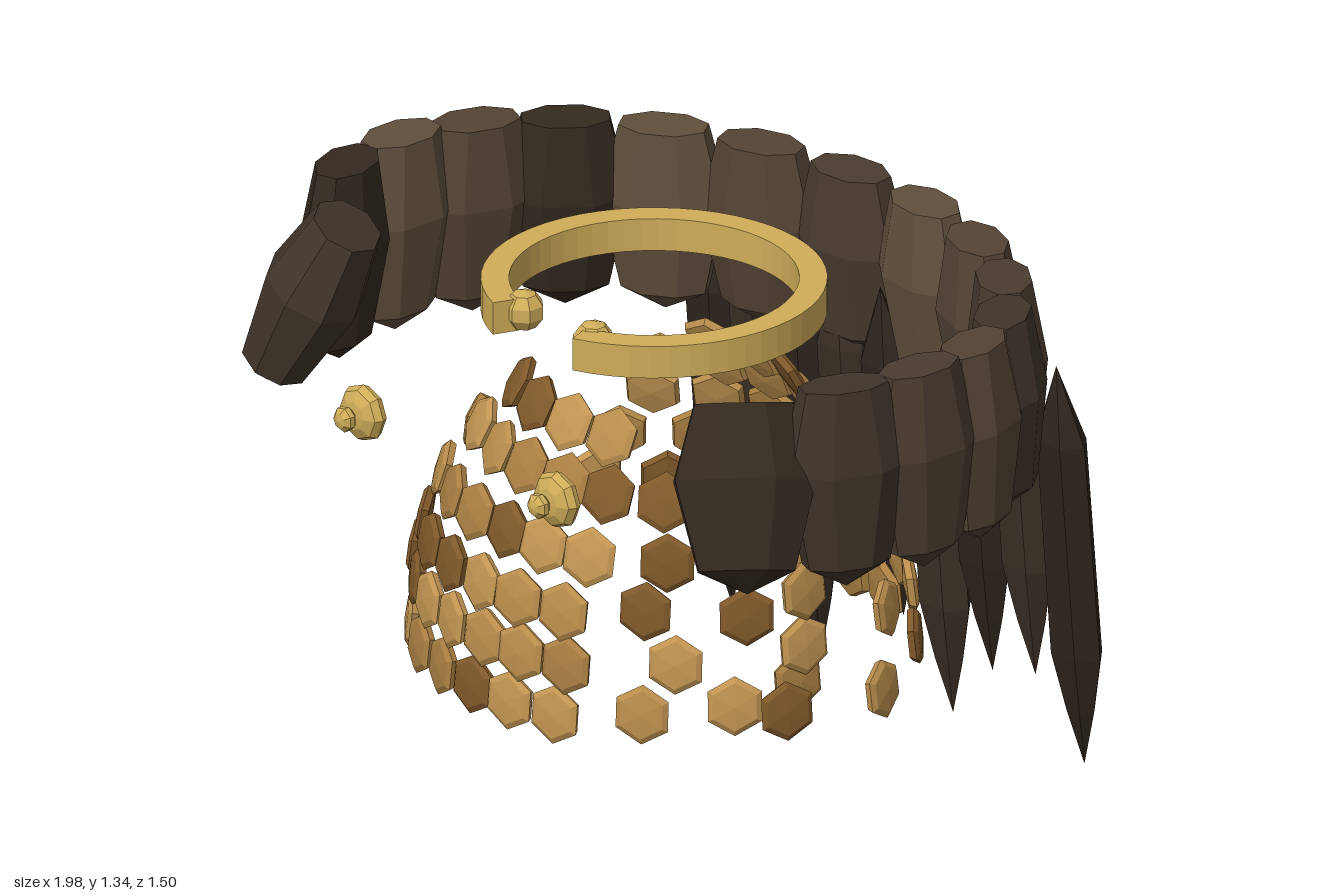
import * as THREE from 'three';

const V = (x, y) => new THREE.Vector2(x, y);
const mat = (color) => new THREE.MeshStandardMaterial({ color, flatShading: true });
const furMats = [0x33291f, 0x493b2f, 0x5f4f3c, 0x40342a, 0x534334].map(mat);
const hideMats = [0x2d241d, 0x3a2e25].map(mat);
const scaleMats = [0xb98d4c, 0xc29552, 0x80592a, 0xaa7f42].map(mat);
const gold = mat(0xd0ad59);

function add(parent, name, geometry, material, x = 0, y = 0, z = 0) {
  const mesh = new THREE.Mesh(geometry, material);
  mesh.name = name;
  mesh.position.set(x, y, z);
  parent.add(mesh);
  return mesh;
}

function group(parent, name) {
  const g = new THREE.Group();
  g.name = name;
  parent.add(g);
  return g;
}

// Faces a part outward along the normal of an ellipse, leaning its foot outward
function face(mesh, nx, nz, lean) {
  mesh.rotation.order = 'YXZ';
  mesh.rotation.set(-lean, Math.atan2(nx, nz), 0);
}

// Horseshoe of overlapping fur tufts, open at the front
function buildCollar(parent) {
  const collar = group(parent, 'furCollar');
  const geo = new THREE.LatheGeometry(
    [V(0, -0.25), V(0.108, -0.19), V(0.158, 0.05), V(0.11, 0.25), V(0, 0.25)], 8, Math.PI / 8);
  geo.scale(1, 1, 0.6);
  const count = 16, rx = 0.905, rz = 0.72;
  for (let i = 0; i < count; i++) {
    const a = THREE.MathUtils.degToRad(57 + (246 * i) / (count - 1));
    const s = Math.sin(a), c = Math.cos(a);
    const end = i === 0 || i === count - 1;
    const back = Math.max(0, -c);
    const tuft = add(collar, 'furTuft', geo, furMats[(i * 3 + (i >> 2)) % 5],
      rx * s, 1.105 - 0.025 * back, 0.05 + rz * c);
    face(tuft, s / rx, c / rz, end ? 0.45 : 0.04);
    if (end) {
      tuft.scale.set(1.12, 0.88, 1.3);
      tuft.position.y -= 0.01;
      tuft.position.z += 0.025;
    } else tuft.scale.y = 1 - 0.08 * back;
  }
}

// Row of long pointed pelt strips hanging from the back
function buildCape(parent) {
  const cape = group(parent, 'backCape');
  const tips = [0.03, 0.16, 0.01, 0.3, 0.21, 0.01, 0.17, 0.21, 0.03];
  const top = 1.06;
  tips.forEach((tip, i) => {
    const geo = new THREE.LatheGeometry([
      V(0, tip - top), V(0.045, tip + 0.14 - top), V(0.082, tip + 0.29 - top),
      V(0.08, 0.87 - top), V(0, 0),
    ], 6, Math.PI / 2);
    geo.scale(1, 1, 0.6);
    const strip = add(cape, 'peltStrip', geo, hideMats[i % 2], (i - 4) * 0.152, top, -0.63);
    strip.rotation.x = 0.085;
  });
}

// Open neck ring with a bead on each end
function buildNeckRing(parent) {
  const ring = group(parent, 'neckRing');
  const gap = 0.35, r = 0.4, inner = 0.335;
  const start = -Math.PI / 2 + gap, end = (3 * Math.PI) / 2 - gap;
  const shape = new THREE.Shape();
  shape.absarc(0, 0, r, start, end, false);
  shape.absarc(0, 0, inner, end, start, true);
  const geo = new THREE.ExtrudeGeometry(shape, { depth: 0.08, bevelEnabled: false, curveSegments: 24 });
  geo.rotateX(-Math.PI / 2);
  add(ring, 'ringBand', geo, gold, 0, 1.21, 0.07);
  for (const side of [-1, 1])
    add(ring, 'ringBead', new THREE.SphereGeometry(0.05, 7, 5), gold, side * 0.12, 1.255, 0.365);
}

// Round chest clasps with a small front knob
function buildClasps(parent) {
  for (const side of [-1, 1]) {
    const clasp = group(parent, side > 0 ? 'leftClasp' : 'rightClasp');
    const disc = new THREE.SphereGeometry(0.07, 8, 6);
    disc.rotateX(Math.PI / 2);
    disc.scale(1, 1, 0.52);
    add(clasp, 'claspDisc', disc, gold, side * 0.335, 1.015, 0.67);
    const knob = new THREE.SphereGeometry(0.032, 7, 5);
    knob.rotateX(Math.PI / 2);
    knob.scale(1, 1, 0.7);
    add(clasp, 'claspKnob', knob, gold, side * 0.335, 1.015, 0.727);
  }
}

// Hexagonal armour scales in flaring honeycomb rows
function buildScales(parent) {
  const coat = group(parent, 'scaleCoat');
  const geo = new THREE.LatheGeometry(
    [V(0, -0.018), V(0.064, -0.012), V(0.072, 0.004), V(0.058, 0.013), V(0, 0.018)], 6);
  geo.rotateX(Math.PI / 2);
  let n = 0;
  const plate = (x, y, z, nx, nz, lean) => {
    const p = add(coat, 'scale', geo, scaleMats[(n * 7 + (n >> 2) * 3) % 11 % 4], x, y, z);
    face(p, nx, nz, lean);
    // slight uneven set of each scale
    p.rotation.y += 0.1 * Math.sin(n * 2.3);
    n++;
  };
  const even = [-0.43, -0.3, -0.175, -0.05, 0.075, 0.205];
  const odd = [-0.385, -0.265, -0.145, -0.02, 0.1, 0.225];
  // Row height, ellipse half-width and half-depth, lean, front and back positions
  const rows = [
    [0.4, 0.6, 0.545, 0.1, even, [-0.3, -0.1, 0.04, 0.18, 0.42]],
    [0.525, 0.59, 0.535, 0.12, odd, [-0.42, -0.28, -0.14, 0, 0.14, 0.28, 0.4]],
    [0.65, 0.57, 0.52, 0.18, even, [-0.48, -0.35, -0.21, -0.07, 0.07, 0.21, 0.35]],
    [0.775, 0.54, 0.465, 0.3, odd, [-0.4, -0.27, -0.13, 0, 0.13, 0.27, 0.4]],
    [0.9, 0.46, 0.38, 0.45, [-0.3, -0.17, -0.05, 0.08, 0.2, 0.32], [-0.32, -0.19, -0.06, 0.07, 0.2, 0.33]],
    [1.0, 0.38, 0.29, 0.5, [-0.25, -0.13, 0, 0.13], [-0.14, 0, 0.12]],
  ];
  for (const [y, rx, rz, lean, front, back] of rows)
    for (const [xs, dir] of [[front, 1], [back, -1]])
      for (const x of xs) {
        const c = dir * Math.sqrt(1 - Math.abs(x / rx) ** 2.2);
        plate(x, y, 0.04 + rz * c, x / rx / rx, c / rz, lean);
      }
  // Loose scales at the flanks
  const flank = [
    [0.36, 0.77, 0.35], [0.33, 0.65, 0.39], [0.4, 0.53, 0.36], [0.34, 0.4, 0.41],
    [0.42, 0.77, -0.05], [0.45, 0.63, 0.01], [0.4, 0.75, 0.14], [0.42, 0.6, 0.16],
    [0.58, 0.42, 0.18], [0.48, 0.42, 0.25], [0.46, 0.5, 0.02], [0.6, 0.4, -0.1],
    [0.48, 0.53, -0.22], [0.45, 0.41, 0.03],
    [-0.54, 0.77, 0.13], [-0.53, 0.52, 0.33], [-0.54, 0.53, -0.23],
  ];
  for (const [x, y, z] of flank) plate(x, y, z, x, z * 1.5, 0.12);
}

export function createModel() {
  const model = new THREE.Group();
  model.name = 'furAndScaleMantle';
  buildCollar(model);
  buildCape(model);
  buildNeckRing(model);
  buildClasps(model);
  buildScales(model);
  return model;
}
